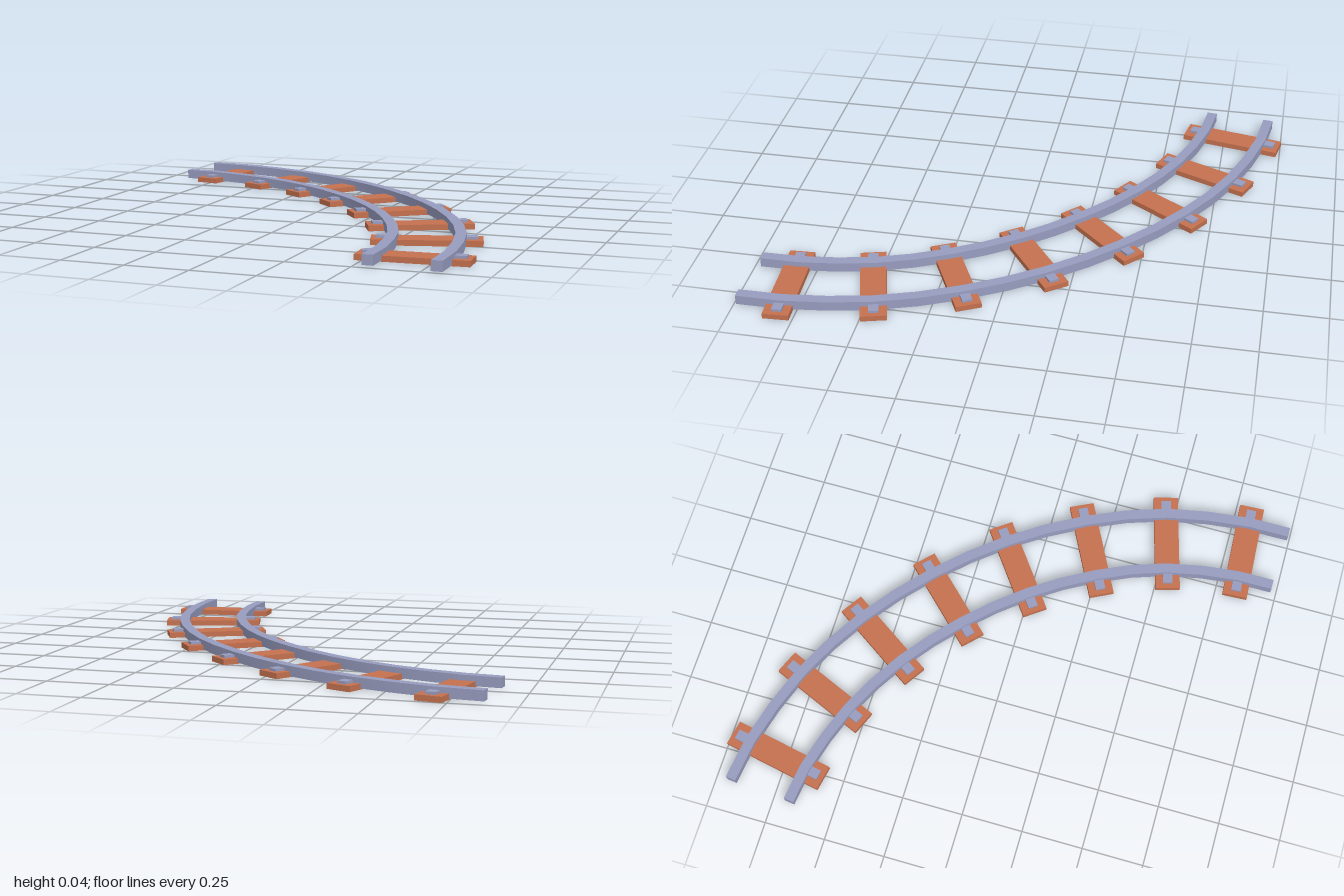
import * as THREE from 'three';
import { toCreasedNormals } from 'three/addons/utils/BufferGeometryUtils.js';

const steel = new THREE.MeshStandardMaterial({ name: 'blue grey steel', color: 0x989dc0 });
const wood = new THREE.MeshStandardMaterial({ name: 'red brown wood', color: 0xc4714f });

// Stations along the track centre line: x, z, angle of the crosswise direction in degrees.
// The first and last are the track ends, the others carry a sleeper.
const stations = [
  [0.679, 0.983, -3.4], [0.678, 0.824, 2.9], [0.626, 0.5, 15.2], [0.507, 0.2, 26.6],
  [0.335, -0.078, 36], [0.12, -0.322, 46], [-0.131, -0.531, 56.3], [-0.415, -0.69, 67],
  [-0.724, -0.787, 78.8], [-0.885, -0.808, 85.5],
];
const GAUGE = 0.127, RAIL_W = 0.042, RAIL_LOW = 0.004, RAIL_TOP = 0.043;
const SLEEPER_H = 0.022;

// Smooth curve running at a constant crosswise offset from the centre line
function trackCurve(offset) {
  return new THREE.CatmullRomCurve3(stations.map(([x, z, deg]) => {
    const a = THREE.MathUtils.degToRad(deg);
    return new THREE.Vector3(x + offset * Math.cos(a), 0, z - offset * Math.sin(a));
  }));
}

// Rectangular section swept along the curve, with closed ends
function railGeometry(offset, segments = 16) {
  const curve = trackCurve(offset);
  const pos = [], idx = [];
  const h = RAIL_W / 2;
  const section = [[-h, RAIL_LOW], [h, RAIL_LOW], [h, RAIL_TOP], [-h, RAIL_TOP]];
  for (let i = 0; i <= segments; i++) {
    const p = curve.getPointAt(i / segments);
    const t = curve.getTangentAt(i / segments);
    for (const [o, y] of section) pos.push(p.x - t.z * o, y, p.z + t.x * o);
  }
  for (let i = 0; i < segments; i++) {
    for (let j = 0; j < 4; j++) {
      const a = i * 4 + j, b = i * 4 + (j + 1) % 4;
      idx.push(a, a + 4, b, b, a + 4, b + 4);
    }
  }
  const e = segments * 4;
  idx.push(0, 1, 2, 0, 2, 3, e, e + 2, e + 1, e, e + 3, e + 2);
  const geo = new THREE.BufferGeometry();
  geo.setAttribute('position', new THREE.Float32BufferAttribute(pos, 3));
  geo.setIndex(idx);
  return toCreasedNormals(geo, 0.5);
}

function addMesh(parent, name, geometry, material, x = 0, y = 0, z = 0) {
  const mesh = new THREE.Mesh(geometry, material);
  mesh.name = name;
  mesh.position.set(x, y, z);
  parent.add(mesh);
  return mesh;
}

export function createModel() {
  const model = new THREE.Group();
  model.name = 'curvedRailTrack';

  // Rails
  addMesh(model, 'outerRail', railGeometry(GAUGE), steel);
  addMesh(model, 'innerRail', railGeometry(-GAUGE), steel);

  // Sleepers with a fixing plate at each end
  const plank = new THREE.BoxGeometry(0.42, SLEEPER_H, 0.103);
  const plate = new THREE.BoxGeometry(0.05, 0.02, 0.04);
  stations.slice(1, -1).forEach(([x, z, deg], i) => {
    const sleeper = new THREE.Group();
    sleeper.name = `sleeper${i + 1}`;
    sleeper.position.set(x, 0, z);
    sleeper.rotation.y = THREE.MathUtils.degToRad(deg);
    addMesh(sleeper, 'plank', plank, wood, 0, SLEEPER_H / 2, 0);
    for (const side of [-1, 1]) addMesh(sleeper, 'fixingPlate', plate, steel, side * 0.165, SLEEPER_H, 0);
    model.add(sleeper);
  });
  return model;
}
